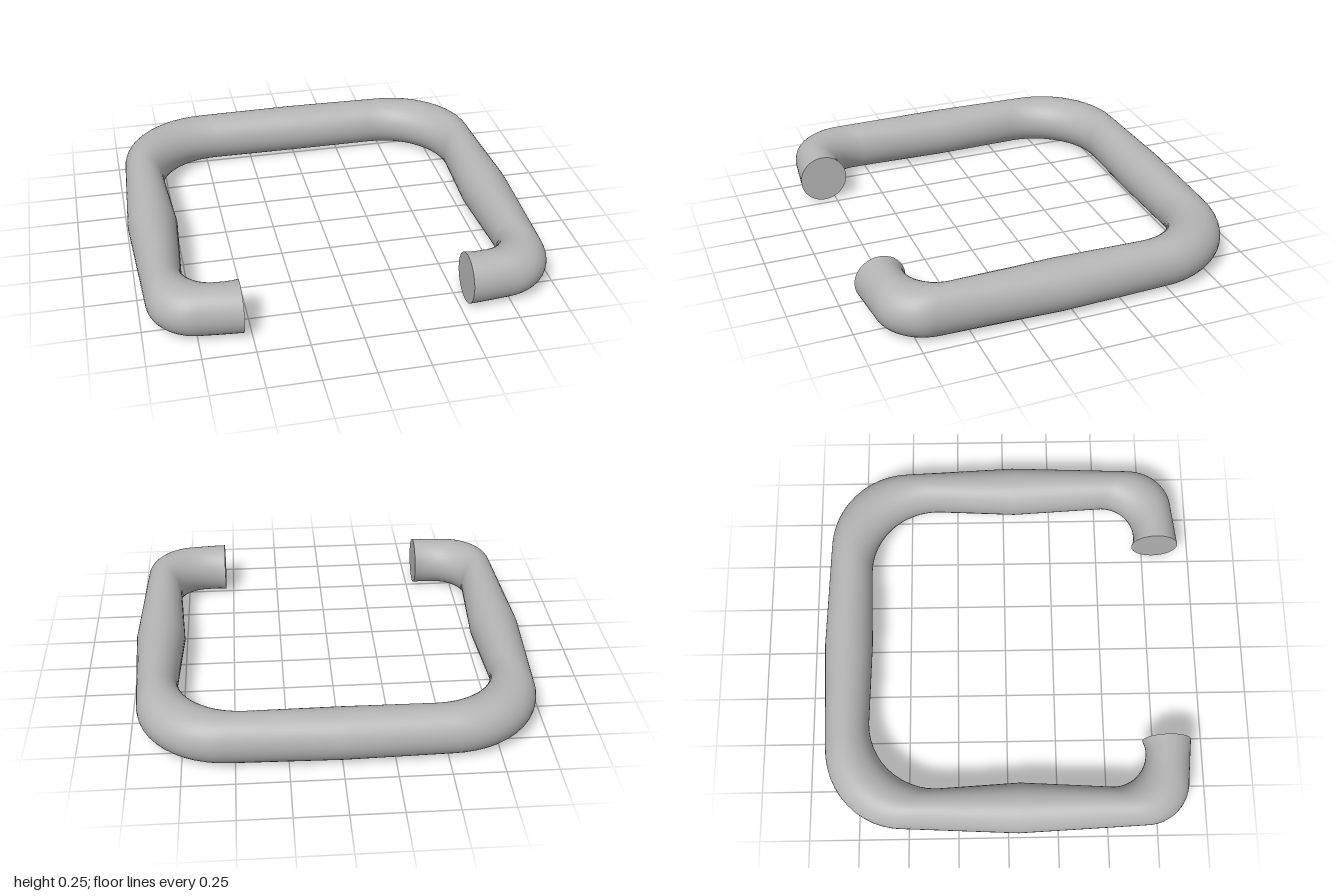
import * as THREE from 'three';

const R = 0.125; // vertical radius of the bar
const SIDES = 40;

// Points along a quarter bend, from the side (angle 0) round to the end (angle 90)
function bend(cx, cz, rx, rz, t) {
  const a = t * Math.PI / 2;
  return [cx + rx * Math.cos(a), cz + rz * Math.sin(a)];
}

// Left half of the bar as pairs of outer and inner edge points, tip to back centre
function halfStations() {
  const s = [
    [[0.54, 0.93], [0.54, 0.685]],
    [[0.60, 0.923], [0.565, 0.695]],
    [[0.68, 0.915], [0.585, 0.698]],
  ];
  const n = 12;
  for (let i = 0; i <= n; i++) {
    const t = 1 - i / n;
    s.push([bend(0.75, 0.685, 0.22, 0.222, t), bend(0.60, 0.52, 0.18, 0.178, t)]);
  }
  s.push([[1.0, 0.05], [0.75, 0.06]]);
  for (let i = 0; i <= n; i++) {
    const t = i / n;
    s.push([bend(0.55, -0.52, 0.42, -0.40, t), bend(0.42, -0.35, 0.355, -0.352, t)]);
  }
  s.push([[0, -0.938], [0, -0.692]]);
  return s;
}

// Sweep an oval section through all the stations
function barGeometry() {
  const half = halfStations();
  const mirrored = half.slice(0, -1).reverse().map((pair) => pair.map(([x, z]) => [-x, z]));
  const stations = [...half, ...mirrored];
  const pos = [], index = [];
  stations.forEach(([o, n], i) => {
    const mx = (o[0] + n[0]) / 2, mz = (o[1] + n[1]) / 2;
    for (let j = 0; j < SIDES; j++) {
      const a = j / SIDES * Math.PI * 2, c = Math.cos(a);
      pos.push(mx + (o[0] - mx) * c, R + R * Math.sin(a), mz + (o[1] - mz) * c);
      if (i === stations.length - 1) continue;
      const p = i * SIDES + j, q = i * SIDES + (j + 1) % SIDES;
      index.push(p, p + SIDES, q, q, p + SIDES, q + SIDES);
    }
  });
  const g = new THREE.BufferGeometry();
  g.setAttribute('position', new THREE.Float32BufferAttribute(pos, 3));
  g.setIndex(index);
  g.computeVertexNormals();
  return g;
}

export function createModel() {
  const group = new THREE.Group();
  group.name = 'bentBar';
  const grey = new THREE.MeshStandardMaterial({ color: 0xb4b4b4 });
  grey.name = 'grey';

  const bar = new THREE.Mesh(barGeometry(), grey);
  bar.name = 'bar';
  group.add(bar);

  // Flat ends facing each other across the gap
  for (const side of [1, -1]) {
    const cap = new THREE.Mesh(new THREE.CircleGeometry(1, SIDES), grey);
    cap.name = side > 0 ? 'leftEnd' : 'rightEnd';
    cap.scale.set(0.1225, R, 1);
    cap.rotation.y = -side * Math.PI / 2;
    cap.position.set(side * 0.54, R, 0.8075);
    group.add(cap);
  }
  return group;
}
